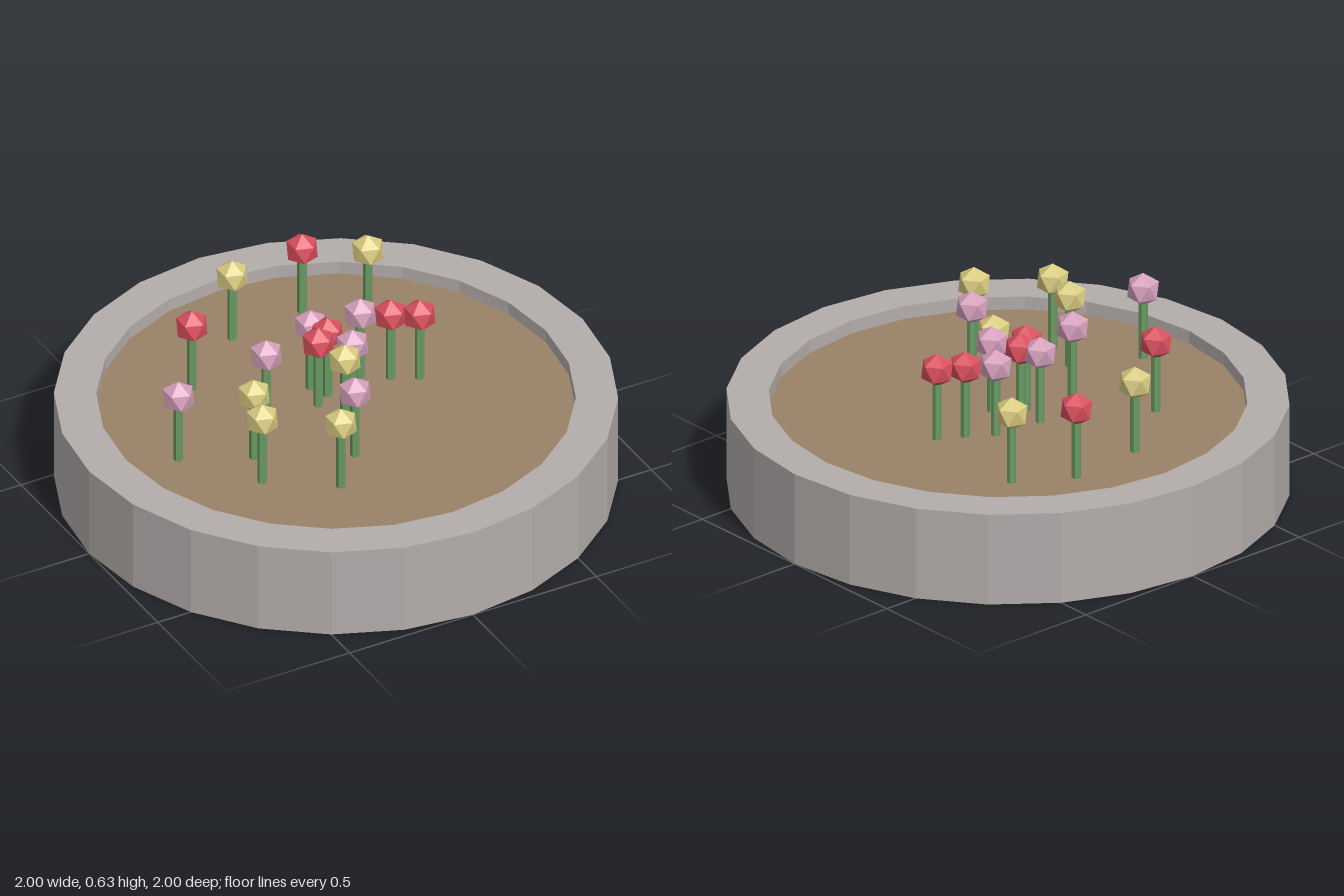
import * as THREE from 'three';

const SIDES = 24, OUTER = 1, INNER = 0.85, RIM_Y = 0.35, SOIL_Y = 0.3;
const HEAD_Y = 0.567, HEAD_R = 0.063, STEM_R = 0.017;

function material(name, color) {
  const m = new THREE.MeshStandardMaterial({ color });
  m.name = name;
  return m;
}

// Facet a geometry by giving every triangle its own normal
function faceted(geometry) {
  const g = geometry.toNonIndexed();
  g.computeVertexNormals();
  return g;
}

function part(name, geometry, mat) {
  const mesh = new THREE.Mesh(geometry, mat);
  mesh.name = name;
  return mesh;
}

export function createModel() {
  const model = new THREE.Group();
  model.name = 'flowerBed';

  const stone = material('stone', 0xb3adab);
  const soilBrown = material('soilBrown', 0x9a8268);
  const green = material('stemGreen', 0x6a9c64);
  const yellow = material('yellowBloom', 0xd9cc80);
  const red = material('redBloom', 0xd94f5e);
  const pink = material('pinkBloom', 0xd6a0bc);

  // Stone ring: outer wall, rim and inner wall
  const profile = [[OUTER, 0], [OUTER, RIM_Y], [INNER, RIM_Y], [INNER, SOIL_Y]]
    .map(([r, y]) => new THREE.Vector2(r, y));
  model.add(part('stoneRing', faceted(new THREE.LatheGeometry(profile, SIDES)), stone));

  // Underside and soil
  model.add(part('base', new THREE.CircleGeometry(OUTER, SIDES).rotateX(Math.PI / 2), stone));
  const soil = part('soil', new THREE.CircleGeometry(INNER, SIDES).rotateX(-Math.PI / 2), soilBrown);
  soil.position.y = SOIL_Y;
  model.add(soil);

  // Shared flower shapes: six-sided stem, icosahedron standing on a corner
  const stemLength = HEAD_Y - SOIL_Y;
  const stemGeometry = faceted(new THREE.CylinderGeometry(STEM_R, STEM_R, stemLength, 6));
  const headGeometry = new THREE.IcosahedronGeometry(HEAD_R)
    .rotateZ(-Math.atan(2 / (1 + Math.sqrt(5))));

  // Flower positions (x, z) by colour
  const beds = [
    [yellow, [[-0.11, -0.56], [0.39, -0.47], [-0.41, 0.14], [-0.46, 0.29], [-0.23, 0.45], [-0.02, 0.1]]],
    [red, [[0.19, -0.59], [-0.39, -0.35], [-0.05, -0.04], [0.01, -0.08], [0.26, -0.07], [0.35, -0.02]]],
    [pink, [[-0.02, -0.15], [0.17, -0.13], [-0.25, -0.06], [-0.65, 0.02], [0.05, 0.03], [-0.09, 0.3]]],
  ];
  for (const [bloom, spots] of beds) {
    for (const [x, z] of spots) {
      const flower = new THREE.Group();
      flower.name = 'flower';
      const stem = part('stem', stemGeometry, green);
      stem.position.y = SOIL_Y + stemLength / 2;
      const head = part('flowerHead', headGeometry, bloom);
      head.position.y = HEAD_Y;
      flower.add(stem, head);
      flower.position.set(x, 0, z);
      model.add(flower);
    }
  }
  return model;
}
